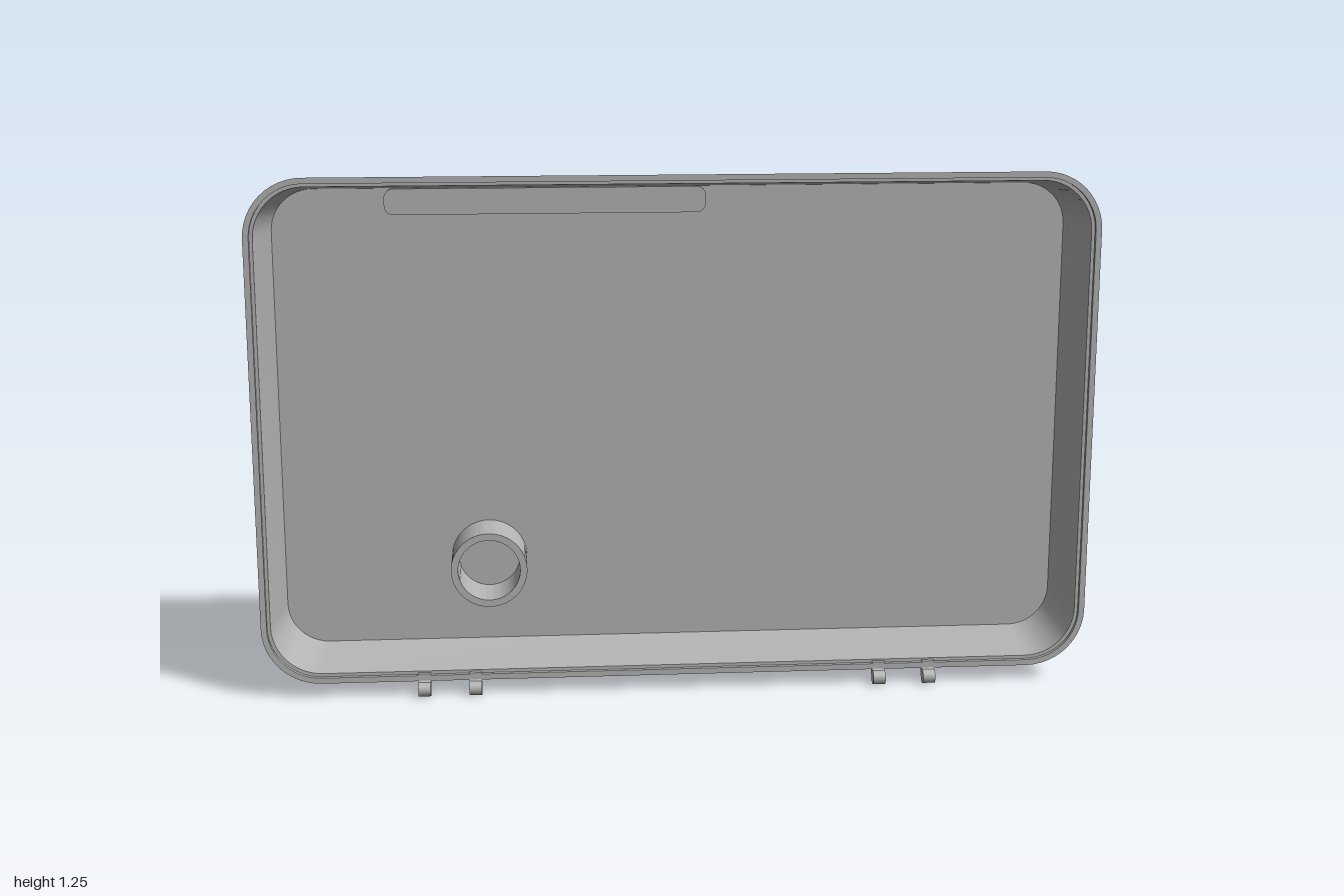
import * as THREE from 'three';
import { toCreasedNormals } from 'three/addons/utils/BufferGeometryUtils.js';

const CY = 0.645;          // height of the panel centre
const FLOOR_Z = -0.09;     // inner face of the back wall

// Rounded rectangle loop, counter-clockwise seen from the front
function ringPoints(inset, radius, z, steps = 12) {
  const w = 1 - inset - radius, h = 0.608 - inset - radius;
  const pts = [];
  [[1, 1], [-1, 1], [-1, -1], [1, -1]].forEach(([sx, sy], q) => {
    for (let i = 0; i <= steps; i++) {
      const a = (q + i / steps) * Math.PI / 2;
      pts.push([sx * w + radius * Math.cos(a), CY + sy * h + radius * Math.sin(a), z]);
    }
  });
  return pts;
}

// Closed tray skin swept from the back face, over the rim, to the inner floor
function trayGeometry() {
  const rings = [
    [0.045, 0.11, -0.11], [0.031, 0.12, -0.1],    // back chamfer
    [0, 0.14, 0.09], [0.014, 0.126, 0.09],        // outer wall and rim
    [0.014, 0.126, 0.08], [0.022, 0.12, 0.08],    // lip step
    [0.046, 0.1, FLOOR_Z],                        // inner wall
  ].map(([inset, r, z]) => ringPoints(inset, r, z));
  const n = rings[0].length, pos = [];
  for (let j = 0; j < n; j++) {
    const k = (j + 1) % n;
    pos.push(0, CY, -0.11, ...rings[0][k], ...rings[0][j]);
    for (let i = 0; i < rings.length - 1; i++) {
      const a = rings[i][j], b = rings[i][k], c = rings[i + 1][k], d = rings[i + 1][j];
      pos.push(...a, ...b, ...c, ...a, ...c, ...d);
    }
    const last = rings[rings.length - 1];
    pos.push(0, CY, FLOOR_Z, ...last[j], ...last[k]);
  }
  const g = new THREE.BufferGeometry();
  g.setAttribute('position', new THREE.Float32BufferAttribute(pos, 3));
  return toCreasedNormals(g, 0.5);
}

export function createModel() {
  const group = new THREE.Group();
  const grey = new THREE.MeshStandardMaterial({ color: 0xb4b4b4 });
  grey.name = 'plain grey';

  const add = (name, geometry, x, y, z, parent = group) => {
    const mesh = new THREE.Mesh(geometry, grey);
    mesh.name = name;
    mesh.position.set(x, y, z);
    parent.add(mesh);
    return mesh;
  };

  add('trayShell', trayGeometry(), 0, 0, 0);

  // Tubular boss standing on the inner floor
  const ring = new THREE.Shape().absarc(0, 0, 0.092, 0, Math.PI * 2);
  ring.holes.push(new THREE.Path().absarc(0, 0, 0.075, 0, Math.PI * 2, true));
  const boss = new THREE.ExtrudeGeometry(ring, { depth: 0.127, bevelEnabled: false, curveSegments: 40 });
  add('boss', toCreasedNormals(boss, 0.5), -0.455, 0.295, FLOOR_Z - 0.002);

  // Shallow raised pad under the top wall, with rounded corners
  const w = 0.383, h = 0.031, r = 0.022;
  const pad = new THREE.Shape();
  pad.absarc(w - r, h - r, r, 0, Math.PI / 2);
  pad.absarc(-w + r, h - r, r, Math.PI / 2, Math.PI);
  pad.absarc(-w + r, -h + r, r, Math.PI, Math.PI * 1.5);
  pad.absarc(w - r, -h + r, r, Math.PI * 1.5, Math.PI * 2);
  pad.closePath();
  const padGeo = new THREE.ExtrudeGeometry(pad, { depth: 0.01, bevelEnabled: false, curveSegments: 8 });
  add('topPad', toCreasedNormals(padGeo, 0.5), -0.304, 1.175, FLOOR_Z - 0.001);

  // Two pairs of hinge knuckles along the bottom rim
  const pin = new THREE.CylinderGeometry(0.017, 0.017, 0.03, 20).rotateZ(Math.PI / 2);
  const arm = new THREE.BoxGeometry(0.03, 0.034, 0.017);
  const root = new THREE.BoxGeometry(0.03, 0.034, 0.018);
  for (const x of [-0.615, -0.492, 0.492, 0.615]) {
    const hinge = new THREE.Group();
    hinge.name = 'hinge';
    hinge.position.x = x;
    add('hingePin', pin, 0, 0.018, 0.096, hinge);
    add('hingeArm', arm, 0, 0.032, 0.085, hinge).rotation.x = -0.6;
    add('hingeRoot', root, 0, 0.038, 0.082, hinge);
    group.add(hinge);
  }
  return group;
}
